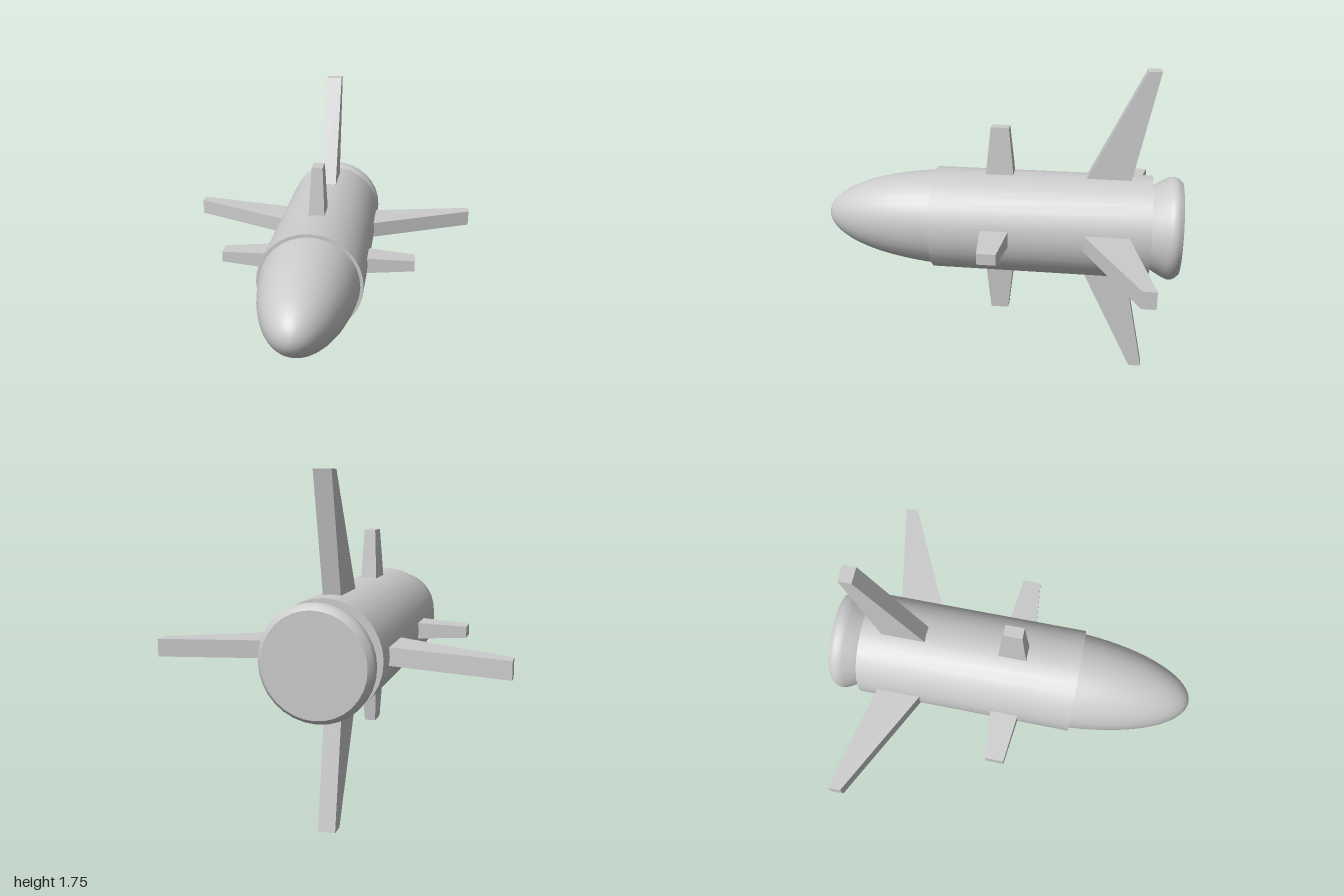
import * as THREE from 'three';
import { toCreasedNormals } from 'three/addons/utils/BufferGeometryUtils.js';

const SIDES = 32;
const AXIS_Y = 0.875;
const grey = new THREE.MeshStandardMaterial({ color: 0xcccccc });

// Solid of revolution about z; profile is [radius, z] from tail to nose
function turned(name, profile, crease) {
  const points = profile.map(([r, z]) => new THREE.Vector2(r, z));
  let geo = new THREE.LatheGeometry(points, SIDES);
  geo.rotateX(Math.PI / 2);
  if (crease) geo = toCreasedNormals(geo, crease);
  const mesh = new THREE.Mesh(geo, grey);
  mesh.name = name;
  return mesh;
}

// Tapered block pointing along +y; each end is { r, front, back, half }
function taperedFin(root, tip) {
  const geo = new THREE.BoxGeometry(1, 1, 1);
  const pos = geo.attributes.position;
  for (let i = 0; i < pos.count; i++) {
    const end = pos.getY(i) > 0 ? tip : root;
    pos.setXYZ(
      i,
      Math.sign(pos.getX(i)) * end.half,
      end.r,
      pos.getZ(i) > 0 ? end.front : end.back
    );
  }
  geo.computeVertexNormals();
  return geo;
}

// Four copies of a fin around the body
function finRing(name, geo) {
  const ring = new THREE.Group();
  ring.name = name + 's';
  for (let i = 0; i < 4; i++) {
    const fin = new THREE.Mesh(geo, grey);
    fin.name = name;
    fin.rotation.z = (i * Math.PI) / 2;
    ring.add(fin);
  }
  return ring;
}

export function createModel() {
  const model = new THREE.Group();
  model.name = 'missile';
  const axis = new THREE.Group();
  axis.name = 'airframe';
  axis.position.y = AXIS_Y;
  model.add(axis);

  // Straight body with flat ends
  axis.add(turned('body', [[0, -0.835], [0.287, -0.835], [0.287, 0.365], [0, 0.365]], 0.6));

  // Elliptical nose, set in slightly from the body
  const nose = [];
  const start = Math.asin(0.165 / 0.8);
  for (let i = 0; i <= 16; i++) {
    const a = start + ((Math.PI / 2 - start) * i) / 16;
    nose.push([Math.max(0, 0.275 * Math.cos(a)), 0.2 + 0.8 * Math.sin(a)]);
  }
  axis.add(turned('noseCone', nose));

  // Flared, closed tail nozzle
  axis.add(turned('nozzle', [
    [0, -1], [0.257, -1], [0.278, -0.978], [0.285, -0.962],
    [0.285, -0.94], [0.277, -0.918], [0.228, -0.83],
  ], 0.75));

  // Swept tail fins
  axis.add(finRing('tailFin', taperedFin(
    { r: 0.24, front: -0.458, back: -0.711, half: 0.045 },
    { r: 0.875, front: -0.77, back: -0.84, half: 0.045 }
  )));

  // Short mid-body fins, tapered both ways
  axis.add(finRing('midFin', taperedFin(
    { r: 0.24, front: 0.082, back: -0.08, half: 0.046 },
    { r: 0.546, front: 0.052, back: -0.048, half: 0.03 }
  )));

  return model;
}
